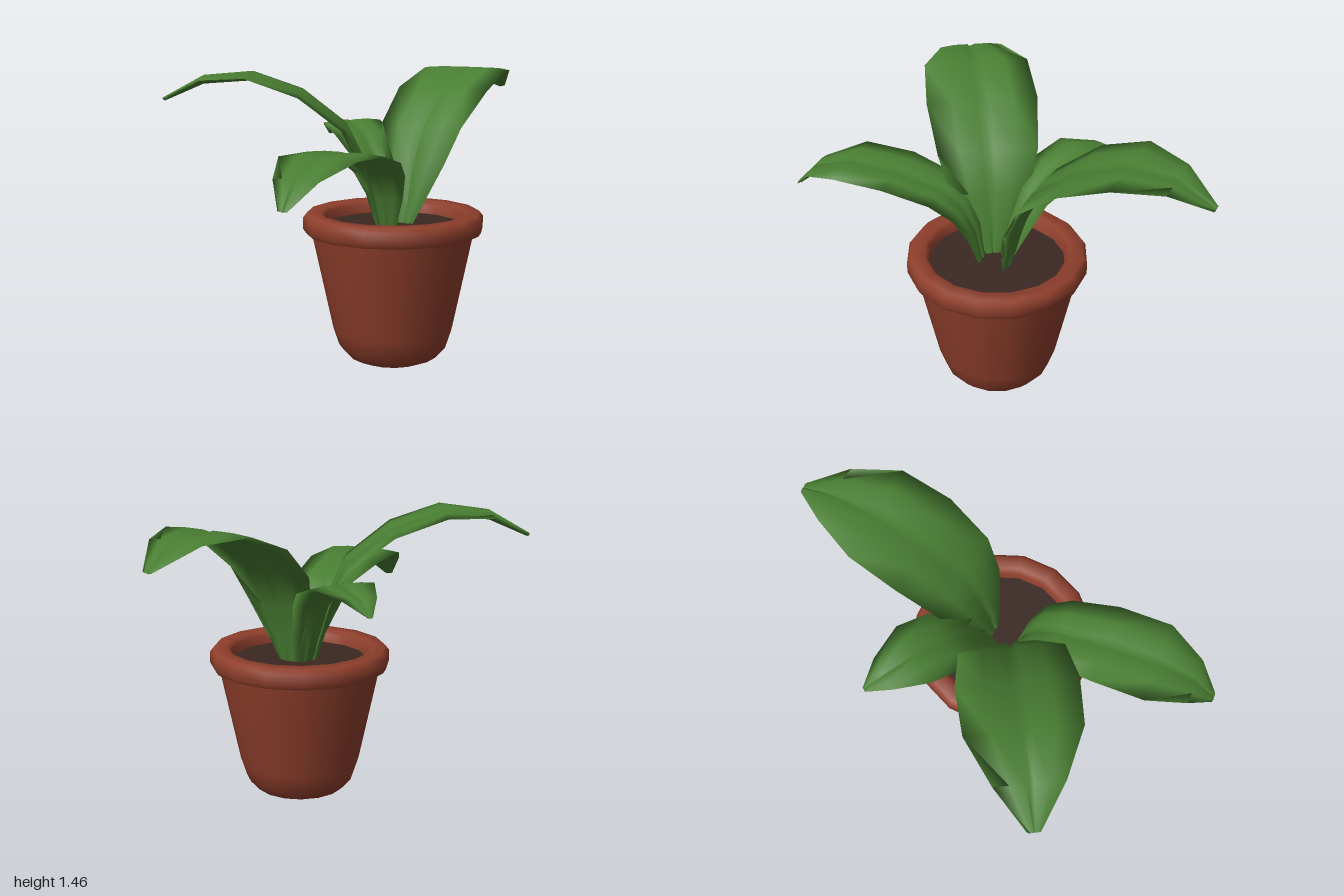
import * as THREE from 'three';
import { toCreasedNormals } from 'three/addons/utils/BufferGeometryUtils.js';

const clay = new THREE.MeshStandardMaterial({ color: 0x8f3f2c });
const earth = new THREE.MeshStandardMaterial({ color: 0x3a2822 });
const green = new THREE.MeshStandardMaterial({ color: 0x4a7f33, side: THREE.DoubleSide });

// Closed leaf section: [across, side]; side 1 is the upper skin, -1 the lower, 0 the margin
const SECTION = [
  [-1, 0], [-0.55, 1], [-0.12, 1], [0, 1], [0.12, 1], [0.55, 1],
  [1, 0], [0.55, -1], [0.12, -1], [0, -1], [-0.12, -1], [-0.55, -1],
];

// Stations run base to tip: [distance out, height, half width]
function leaf(name, [bx, bz], [tx, tz], stations) {
  const out = new THREE.Vector2(tx - bx, tz - bz).normalize();
  const pos = [], index = [], n = SECTION.length;
  stations.forEach(([s, y, half], i) => {
    const a = stations[Math.max(i - 1, 0)];
    const b = stations[Math.min(i + 1, stations.length - 1)];
    const slope = new THREE.Vector2(b[0] - a[0], b[1] - a[1]).normalize();
    for (const [t, side] of SECTION) {
      // skin thickness, with a narrow groove along the midrib
      const lift = side * Math.min(0.009, half * 0.2) - (t === 0 ? Math.min(0.02, half * 0.2) : 0);
      const r = s - slope.y * lift;
      pos.push(bx + out.x * r - out.y * t * half, y + slope.x * lift, bz + out.y * r + out.x * t * half);
    }
    if (i === 0) return;
    for (let j = 0; j < n; j++) {
      const p = (i - 1) * n + j, p2 = (i - 1) * n + (j + 1) % n;
      index.push(p, p2, p + n, p2, p2 + n, p + n);
    }
  });
  const geo = new THREE.BufferGeometry();
  geo.setAttribute('position', new THREE.Float32BufferAttribute(pos, 3));
  geo.setIndex(index);
  geo.computeVertexNormals();
  const mesh = new THREE.Mesh(geo, green);
  mesh.name = name;
  return mesh;
}

export function createModel() {
  const plant = new THREE.Group();
  plant.name = 'pottedPlant';

  // Pot with rounded foot and overhanging rim
  const profile = [
    [0, 0], [0.165, 0], [0.225, 0.025], [0.275, 0.08], [0.305, 0.17], [0.41, 0.665],
    [0.44, 0.665], [0.453, 0.685], [0.453, 0.74], [0.433, 0.765], [0.365, 0.765], [0.345, 0.745], [0.34, 0.68],
  ].map(([r, y]) => new THREE.Vector2(r, y));
  const pot = new THREE.Mesh(toCreasedNormals(new THREE.LatheGeometry(profile, 16), 1), clay);
  pot.name = 'pot';
  pot.position.set(0.037, 0, 0.043);
  plant.add(pot);

  // Soil disc
  const soil = new THREE.Mesh(new THREE.CircleGeometry(0.345, 16), earth);
  soil.name = 'soil';
  soil.rotation.x = -Math.PI / 2;
  soil.position.set(0.037, 0.7, 0.043);
  plant.add(soil);

  // Two large leaves, sharing one arch at slightly different sizes
  const large = [
    [0.01, 0.68, 0.04], [0.04, 0.82, 0.11], [0.09, 1.01, 0.2], [0.18, 1.19, 0.25],
    [0.4, 1.36, 0.28], [0.65, 1.45, 0.265], [0.88, 1.435, 0.16], [1.07, 1.335, 0.03],
  ];
  plant.add(leaf('rightLargeLeaf', [-0.02, 0.03], [-0.99, -0.43], large));
  plant.add(leaf('leftLargeLeaf', [0.09, 0.04], [0.985, -0.49],
    large.map(([s, y, half]) => [s * 0.97, y - 0.01, half * 0.94])));

  // Medium leaf reaching to the front
  plant.add(leaf('frontLeaf', [-0.01, 0.09], [-0.815, 0.695], [
    [0.01, 0.68, 0.04], [0.05, 0.86, 0.1], [0.11, 0.98, 0.14], [0.22, 1.06, 0.17],
    [0.45, 1.12, 0.2], [0.71, 1.13, 0.2], [0.9, 1.06, 0.115], [1.01, 0.945, 0.025],
  ]));

  // Small leaf at the back
  plant.add(leaf('backLeaf', [0.037, 0], [0.037, -0.72], [
    [0, 0.68, 0.04], [0.07, 0.85, 0.09], [0.16, 1.02, 0.13], [0.28, 1.115, 0.163],
    [0.445, 1.172, 0.163], [0.61, 1.142, 0.09], [0.72, 1.08, 0.012],
  ]));
  return plant;
}
